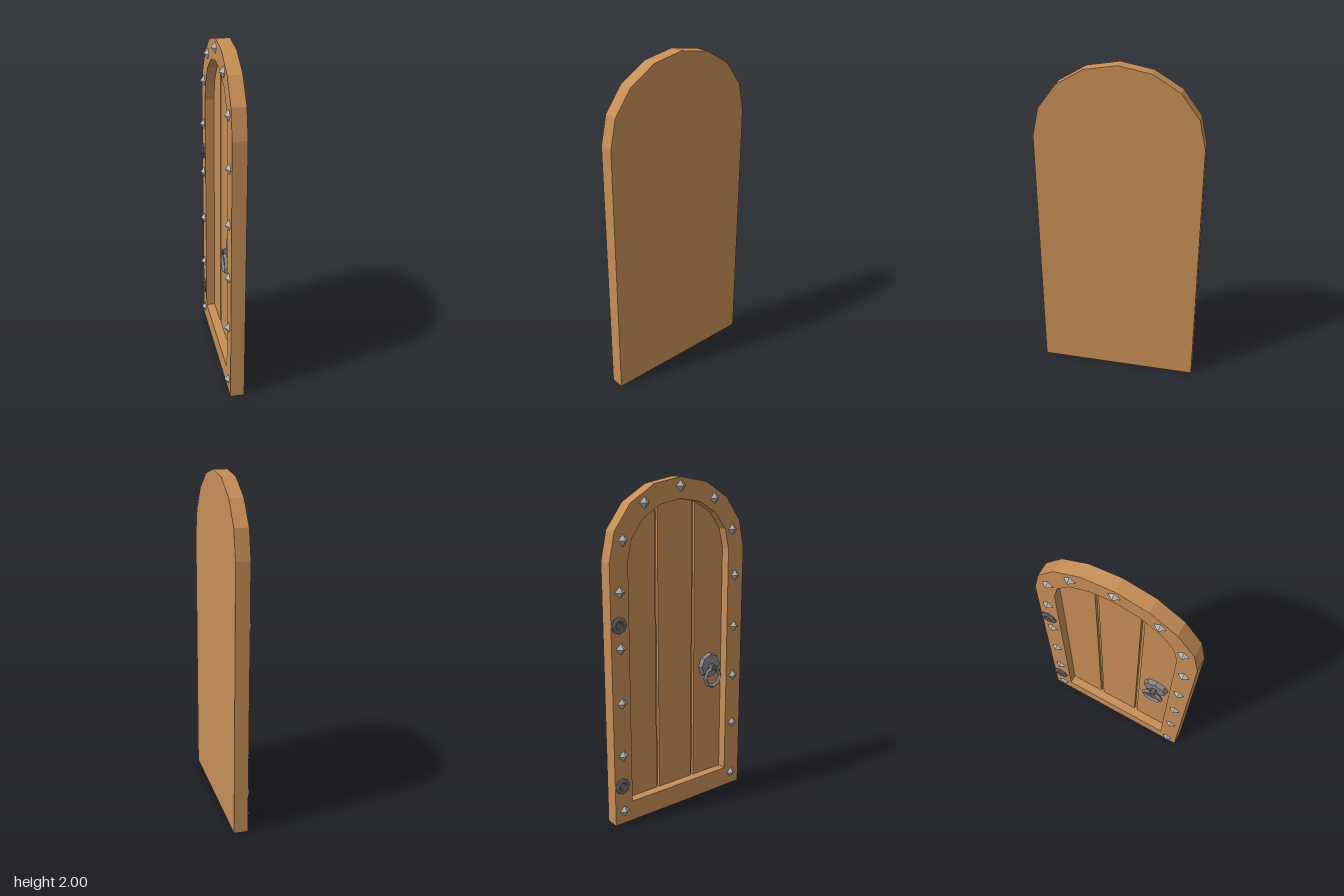
import * as THREE from 'three';

const mat = (color) => new THREE.MeshStandardMaterial({ color, flatShading: true });
const wood = mat(0xc68e56);
const studMetal = mat(0xb8b8b8);
const iron = mat(0x858585);
const darkIron = mat(0x6a6a6a);

const FACE = -0.03, PANEL = 0.025, GROOVE = 0.043, BACK = 0.052;
const SPRING = 1.567, SILL = 0.125;

// Half-ellipse arch points, from +half width to -half width
function archPoints(halfWidth, rise) {
  const pts = [];
  for (let i = 0; i <= 8; i++) {
    const a = (i / 8) * Math.PI;
    pts.push(new THREE.Vector2(halfWidth * Math.cos(a), SPRING + rise * Math.sin(a)));
  }
  return pts;
}

function outline(halfWidth, rise, bottom) {
  return [new THREE.Vector2(-halfWidth, bottom), new THREE.Vector2(halfWidth, bottom), ...archPoints(halfWidth, rise)];
}

// Extrudes an upright outline through the door's thickness, from x0 to x1
function slab(name, shape, x0, x1) {
  const geo = new THREE.ExtrudeGeometry(shape, { depth: x1 - x0, bevelEnabled: false });
  geo.rotateY(Math.PI / 2).translate(x0, 0, 0);
  const mesh = new THREE.Mesh(geo, wood);
  mesh.name = name;
  return mesh;
}

// A plank between a and b, cut to follow the inner arch
function plank(a, b) {
  const arch = archPoints(0.365, 0.313);
  const topAt = (u) => {
    for (let i = 0; i < 8; i++) {
      const p = arch[i], q = arch[i + 1];
      if (u <= p.x + 1e-6 && u >= q.x - 1e-6) return p.y + ((u - p.x) / (q.x - p.x)) * (q.y - p.y);
    }
    return SPRING;
  };
  const inside = arch.filter((p) => p.x > a + 1e-4 && p.x < b - 1e-4);
  return slab('plank', new THREE.Shape([
    new THREE.Vector2(a, SILL), new THREE.Vector2(b, SILL),
    new THREE.Vector2(b, topAt(b)), ...inside, new THREE.Vector2(a, topAt(a)),
  ]), PANEL, GROOVE);
}

// Places a mesh whose local +y points out of the door face (-x)
function faceMesh(name, geo, material, x, y, z) {
  const mesh = new THREE.Mesh(geo, material);
  mesh.name = name;
  mesh.rotation.z = Math.PI / 2;
  mesh.position.set(x, y, z);
  return mesh;
}

export function createModel() {
  const door = new THREE.Group();
  door.name = 'archedDoor';

  // Frame with arched opening, and the backing board
  const frame = new THREE.Shape(outline(0.485, 0.433, 0));
  frame.holes.push(new THREE.Path(outline(0.365, 0.313, SILL)));
  door.add(slab('frame', frame, FACE, GROOVE));
  door.add(slab('backBoard', new THREE.Shape(outline(0.485, 0.433, 0)), GROOVE, BACK));

  // Three planks separated by grooves
  for (const [a, b] of [[-0.365, -0.145], [-0.125, 0.125], [0.145, 0.365]]) door.add(plank(a, b));

  // Pyramid studs around the frame
  const studGeo = new THREE.ConeGeometry(0.034, 0.025, 4);
  const addStud = (y, z) => door.add(faceMesh('stud', studGeo, studMetal, FACE - 0.0125, y, z));
  const studs = [[0.08, 0.422], [0.435, 0.422], [0.757, 0.422], [1.08, 0.422], [1.4, 0.422], [1.68, 0.394], [1.87, 0.25]];
  for (const [y, z] of studs) for (const side of [-1, 1]) addStud(y, side * z);
  addStud(1.95, 0);

  // Round hinge bosses with a dished centre
  const bossProfile = [[0.05, 0], [0.05, 0.008], [0.04, 0.013], [0.026, 0.013], [0.02, 0.006], [0, 0.006]];
  const bossGeo = new THREE.LatheGeometry(bossProfile.map(([r, h]) => new THREE.Vector2(r, h)), 8);
  for (const y of [0.245, 1.217]) door.add(faceMesh('hingeBoss', bossGeo, darkIron, FACE, y, -0.435));

  // Handle: backplate, pivot and hanging ring
  const handle = new THREE.Group();
  handle.name = 'handle';
  handle.add(faceMesh('backplate', new THREE.CylinderGeometry(0.072, 0.08, 0.028, 8), iron, PANEL - 0.014, 0.843, 0.262));
  handle.add(faceMesh('pivot', new THREE.CylinderGeometry(0.018, 0.022, 0.036, 6), darkIron, -0.018, 0.838, 0.26));
  const ring = new THREE.Mesh(new THREE.TorusGeometry(0.06, 0.014, 4, 8), iron);
  ring.name = 'ring';
  ring.rotation.y = Math.PI / 2;
  ring.position.set(-0.022, 0.775, 0.26);
  handle.add(ring);
  door.add(handle);

  // LatheGeometry winds outward only for rising profiles, so show both faces
  darkIron.side = THREE.DoubleSide;
  return door;
}
